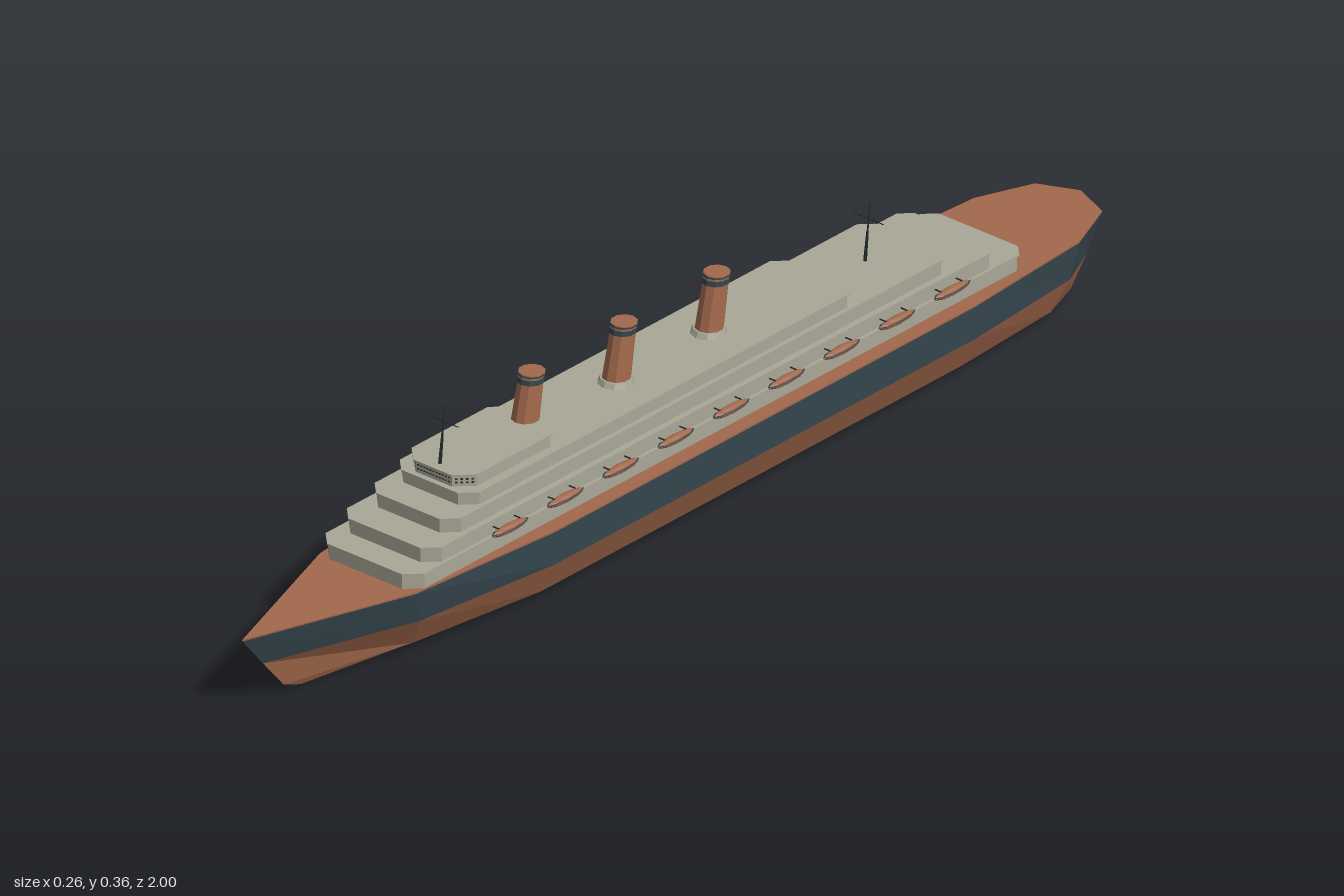
import * as THREE from 'three';

const mat = (name, color, side = THREE.FrontSide) => {
  const m = new THREE.MeshStandardMaterial({ color, side, flatShading: true });
  m.name = name;
  return m;
};

export function createModel() {
  const rust = mat('rust brown', 0xa3694c);
  const navy = mat('dark slate', 0x34454d);
  const cream = mat('stone grey', 0xa9a897);
  const black = mat('near black', 0x22282b);

  const ship = new THREE.Group();
  ship.name = 'oceanLiner';
  const add = (name, geo, material, parent = ship) => {
    const mesh = new THREE.Mesh(geo, material);
    mesh.name = name;
    parent.add(mesh);
    return mesh;
  };
  const group = (name) => {
    const g = new THREE.Group();
    g.name = name;
    ship.add(g);
    return g;
  };

  // Hull outlines: half width and z from stern to bow at each height
  const levels = [
    { y: 0, p: [[0, -0.91], [0.045, -0.89], [0.06, -0.82], [0.072, -0.6], [0.072, 0.4], [0.04, 0.64], [0, 0.86]] },
    { y: 0.015, p: [[0, -0.93], [0.057, -0.91], [0.085, -0.83], [0.098, -0.6], [0.098, 0.4], [0.06, 0.66], [0, 0.9]] },
    { y: 0.073, p: [[0, -0.962], [0.068, -0.937], [0.108, -0.85], [0.127, -0.6], [0.127, 0.4], [0.092, 0.68], [0, 0.95]] },
    { y: 0.131, p: [[0, -0.999], [0.07, -0.969], [0.11, -0.87], [0.128, -0.6], [0.128, 0.4], [0.1, 0.7], [0, 0.998]] },
    { y: 0.134, p: [[0, -1], [0.07, -0.97], [0.11, -0.87], [0.128, -0.6], [0.128, 0.4], [0.1, 0.7], [0, 1]] },
  ];
  const point = (l, i, s) => [s * l.p[i][0], l.y, l.p[i][1]];
  const fromTriangles = (tris) => {
    const g = new THREE.BufferGeometry();
    g.setAttribute('position', new THREE.Float32BufferAttribute(tris.flat(), 3));
    g.computeVertexNormals();
    return g;
  };
  const quad = (out, a, b, c, d) => out.push(a, b, c, a, c, d);
  const hullBand = (lo, hi) => {
    const t = [];
    for (let k = lo; k < hi; k++) {
      const A = levels[k], B = levels[k + 1];
      for (let i = 0; i < A.p.length - 1; i++) {
        quad(t, point(A, i, 1), point(B, i, 1), point(B, i + 1, 1), point(A, i + 1, 1));
        quad(t, point(A, i, -1), point(A, i + 1, -1), point(B, i + 1, -1), point(B, i, -1));
      }
    }
    return fromTriangles(t);
  };
  const hullCap = (l, up) => {
    const t = [];
    for (let i = 0; i < l.p.length - 1; i++) {
      const q = [point(l, i, 1), point(l, i, -1), point(l, i + 1, -1), point(l, i + 1, 1)];
      quad(t, ...(up ? q : q.reverse()));
    }
    return fromTriangles(t);
  };
  add('lowerHull', hullBand(0, 2), rust);
  add('upperHull', hullBand(2, 3), navy);
  add('deckEdge', hullBand(3, 4), rust);
  add('keelBottom', hullCap(levels[0], false), rust);
  add('mainDeck', hullCap(levels[4], true), rust);

  // Superstructure: slabs with cut corners and a slim overhanging roof
  const slab = (w, front, back, cf, cb, bottom, top) => {
    const s = new THREE.Shape([
      [-w, back + cb], [-w + cb, back], [w - cb, back], [w, back + cb],
      [w, front - cf], [w - cf, front], [-w + cf, front], [-w, front - cf],
    ].map(([x, z]) => new THREE.Vector2(x, z)));
    return new THREE.ExtrudeGeometry(s, { depth: top - bottom, bevelEnabled: false })
      .rotateX(Math.PI / 2).translate(0, top, 0);
  };
  const tiers = [
    [0.101, 0.705, -0.752, 0.025, 0.02, 0.134, 0.162],
    [0.097, 0.658, -0.69, 0.024, 0.02, 0.162, 0.189],
    [0.088, 0.602, -0.585, 0.024, 0.02, 0.189, 0.215],
    [0.081, 0.55, -0.37, 0.024, 0.02, 0.215, 0.238],
    [0.066, 0.543, 0.305, 0.028, 0.035, 0.238, 0.26],
  ];
  const house = group('superstructure');
  tiers.forEach(([w, f, b, cf, cb, y0, y1], i) => {
    add('deckHouse' + (i + 1), slab(w, f, b, cf, cb, y0, y1 - 0.003), cream, house);
    add('deckRoof' + (i + 1), slab(w + 0.002, f + 0.003, b - 0.003, cf, cb, y1 - 0.003, y1), cream, house);
  });

  // Bridge windows on the front and the two cut corners
  const bridge = group('bridgeWindows');
  for (let i = -5; i <= 5; i++) {
    for (const y of [0.245, 0.252]) {
      add('frontWindow', new THREE.BoxGeometry(0.004, 0.002, 0.001).translate(i * 0.0064, y, 0.543), black, bridge);
    }
  }
  for (const s of [-1, 1]) {
    for (let i = 0; i < 4; i++) {
      for (const y of [0.245, 0.251]) {
        const d = 0.005 + i * 0.006;
        add('cornerWindow', new THREE.BoxGeometry(0.004, 0.003, 0.001).rotateY(s * Math.PI / 4)
          .translate(s * (0.038 + d), y, 0.543 - d), black, bridge);
      }
    }
  }

  // Raked funnels with collar and dark band
  const rake = new THREE.Matrix4().set(1, 0, 0, 0, 0, 1, 0, 0, 0, -0.2, 1, 0, 0, 0, 0, 1);
  const drum = (rTop, rBottom, y0, y1) =>
    new THREE.CylinderGeometry(rTop, rBottom, y1 - y0, 10).translate(0, (y0 + y1) / 2, 0).applyMatrix4(rake);
  for (const z of [0.329, 0.109, -0.112]) {
    const funnel = group('funnel');
    funnel.position.set(0, 0.238, z);
    add('funnelStack', drum(0.021, 0.024, 0, 0.096), rust, funnel);
    add('funnelCollar', drum(0.027, 0.03, 0, 0.009), cream, funnel);
    add('funnelBand', drum(0.0228, 0.0228, 0.084, 0.092), navy, funnel);
    add('funnelRim', drum(0.023, 0.023, 0.096, 0.0985), navy, funnel);
    add('funnelTop', drum(0.022, 0.022, 0.0985, 0.1), rust, funnel);
  }

  // Masts with crossed yards, leaning aft
  const mast = (name, y, z, h) => {
    const m = group(name);
    m.position.set(0, y, z);
    m.rotation.x = -0.12;
    add('mastLower', new THREE.CylinderGeometry(0.002, 0.003, h * 0.5, 6).translate(0, h * 0.25, 0), black, m);
    add('mastUpper', new THREE.CylinderGeometry(0.0008, 0.0015, h * 0.5, 6).translate(0, h * 0.75, 0), black, m);
    add('yard', new THREE.BoxGeometry(0.062, 0.0012, 0.0012).translate(0, h * 0.72, 0), black, m);
  };
  mast('foreMast', 0.26, 0.528, 0.1);
  mast('aftMast', 0.215, -0.485, 0.1);

  // Lifeboats on both sides: pointed hull, gunwale, cover and davits
  const boatPart = (rx, ry, y, len) => new THREE.SphereGeometry(1, 8, 6).scale(rx, ry, len).translate(0, y, 0);
  for (const s of [-1, 1]) {
    for (let i = 0; i < 9; i++) {
      const boat = group('lifeboat');
      boat.position.set(s * 0.111, 0.169, -0.566 + i * 0.1317);
      add('boatHull', boatPart(0.0095, 0.0075, 0, 0.043), rust, boat);
      add('boatGunwale', boatPart(0.0108, 0.0022, 0.001, 0.0445), navy, boat);
      for (const e of [-1, 1]) {
        add('davit', new THREE.BoxGeometry(0.014, 0.0015, 0.002).translate(-s * 0.008, 0.0065, e * 0.025), black, boat);
      }
    }
  }
  return ship;
}
